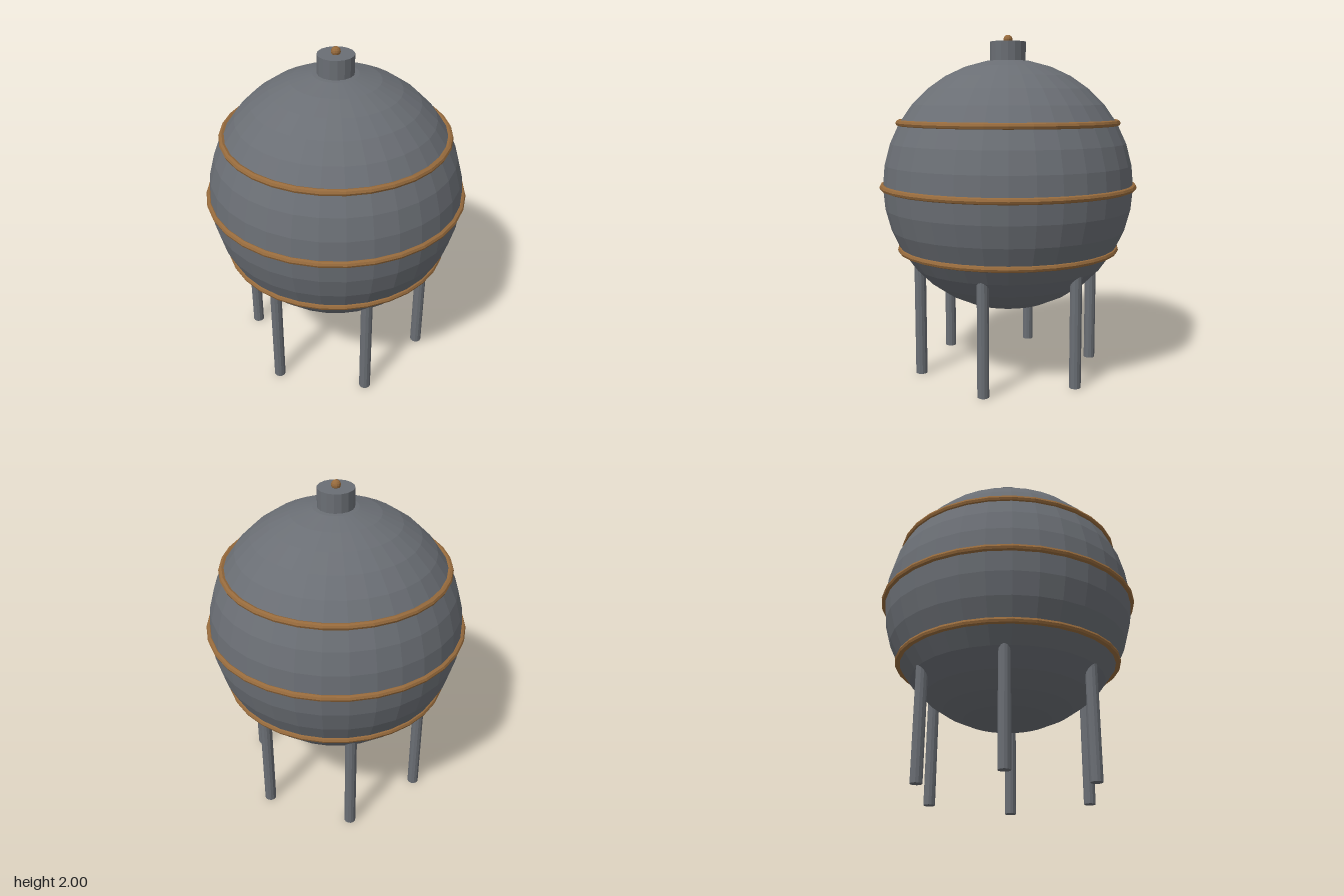
import * as THREE from 'three';

export function createModel() {
  const model = new THREE.Group();
  const steel = new THREE.MeshStandardMaterial({ color: 0x6a6e74, flatShading: true });
  steel.name = 'grey steel';
  const copper = new THREE.MeshStandardMaterial({ color: 0x966a3c, flatShading: true });
  copper.name = 'copper';

  const add = (name, geometry, material, x, y, z) => {
    const mesh = new THREE.Mesh(geometry, material);
    mesh.name = name;
    mesh.position.set(x, y, z);
    model.add(mesh);
    return mesh;
  };

  // Spherical tank
  const radius = 0.74, centreY = 1.12;
  add('tank', new THREE.SphereGeometry(radius, 32, 18), steel, 0, centreY, 0);

  // Bands around the tank
  for (const [name, offset] of [['lowerBand', -0.372], ['middleBand', 0], ['upperBand', 0.372]]) {
    const ringRadius = Math.sqrt(radius ** 2 - offset ** 2) + 0.003;
    const band = new THREE.TorusGeometry(ringRadius, 0.0185, 8, 32).rotateX(Math.PI / 2);
    add(name, band, copper, 0, centreY + offset, 0);
  }

  // Six legs, reaching just inside the tank
  const leg = new THREE.CylinderGeometry(0.034, 0.034, 0.68, 12);
  for (let i = 0; i < 6; i++) {
    const a = i * Math.PI / 3;
    add('leg', leg, steel, 0.537 * Math.cos(a), 0.34, 0.537 * Math.sin(a));
  }

  // Hatch and its knob
  add('hatch', new THREE.CylinderGeometry(0.104, 0.104, 0.14, 16), steel, 0, 1.89, 0);
  add('knob', new THREE.SphereGeometry(0.027, 12, 8), copper, 0, 1.973, 0);

  return model;
}
